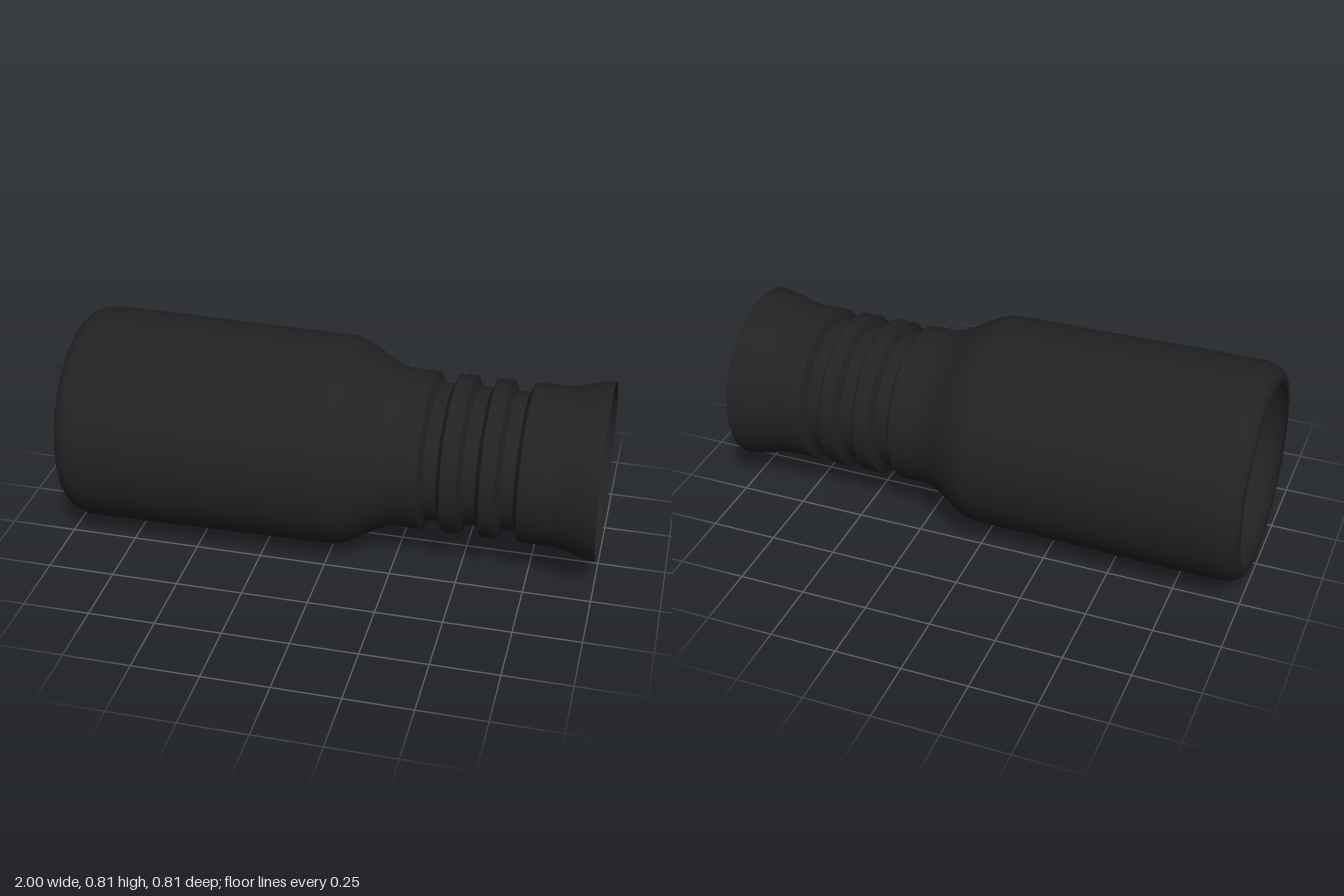
import * as THREE from 'three';

const AXIS_HEIGHT = 0.405;

export function createModel() {
  const group = new THREE.Group();
  group.name = 'neckedSleeve';
  const rubber = new THREE.MeshStandardMaterial({ color: 0x222222, side: THREE.DoubleSide });
  rubber.name = 'black rubber';

  // Profile as (radius, position along the axis), from the wide end to the flared end
  const profile = [];
  const add = (x, r) => profile.push(new THREE.Vector2(r, x));
  const ease = (x0, r0, x1, r1, steps) => {
    for (let i = 0; i <= steps; i++) {
      const t = i / steps;
      add(x0 + (x1 - x0) * t, r0 + (r1 - r0) * t * t * (3 - 2 * t));
    }
  };

  // Open wide end with an inward lip and rounded rim
  add(-1, 0.34);
  add(-1, 0.352);
  for (let i = 0; i <= 8; i++) {
    const a = (i / 8) * Math.PI / 2;
    add(-0.91 - 0.09 * Math.cos(a), 0.355 + 0.05 * Math.sin(a));
  }

  // Slightly tapering body, then the shoulder down to the neck
  add(-0.65, 0.404);
  add(-0.3, 0.398);
  add(-0.02, 0.396);
  ease(0.01, 0.395, 0.26, 0.296, 14);
  add(0.3, 0.296);

  // Three grooves, with close points to keep their edges crisp
  for (const x of [0.392, 0.534, 0.672]) {
    add(x - 0.044, 0.296);
    add(x - 0.039, 0.293);
    add(x - 0.027, 0.262);
    add(x - 0.022, 0.258);
    add(x + 0.022, 0.258);
    add(x + 0.027, 0.262);
    add(x + 0.039, 0.293);
    add(x + 0.044, 0.296);
  }

  // Flared open end
  add(0.76, 0.296);
  ease(0.82, 0.296, 1, 0.33, 10);

  const sleeve = new THREE.Mesh(new THREE.LatheGeometry(profile, 96), rubber);
  sleeve.name = 'sleeve';
  sleeve.rotation.z = -Math.PI / 2;
  sleeve.position.y = AXIS_HEIGHT;
  group.add(sleeve);
  return group;
}
